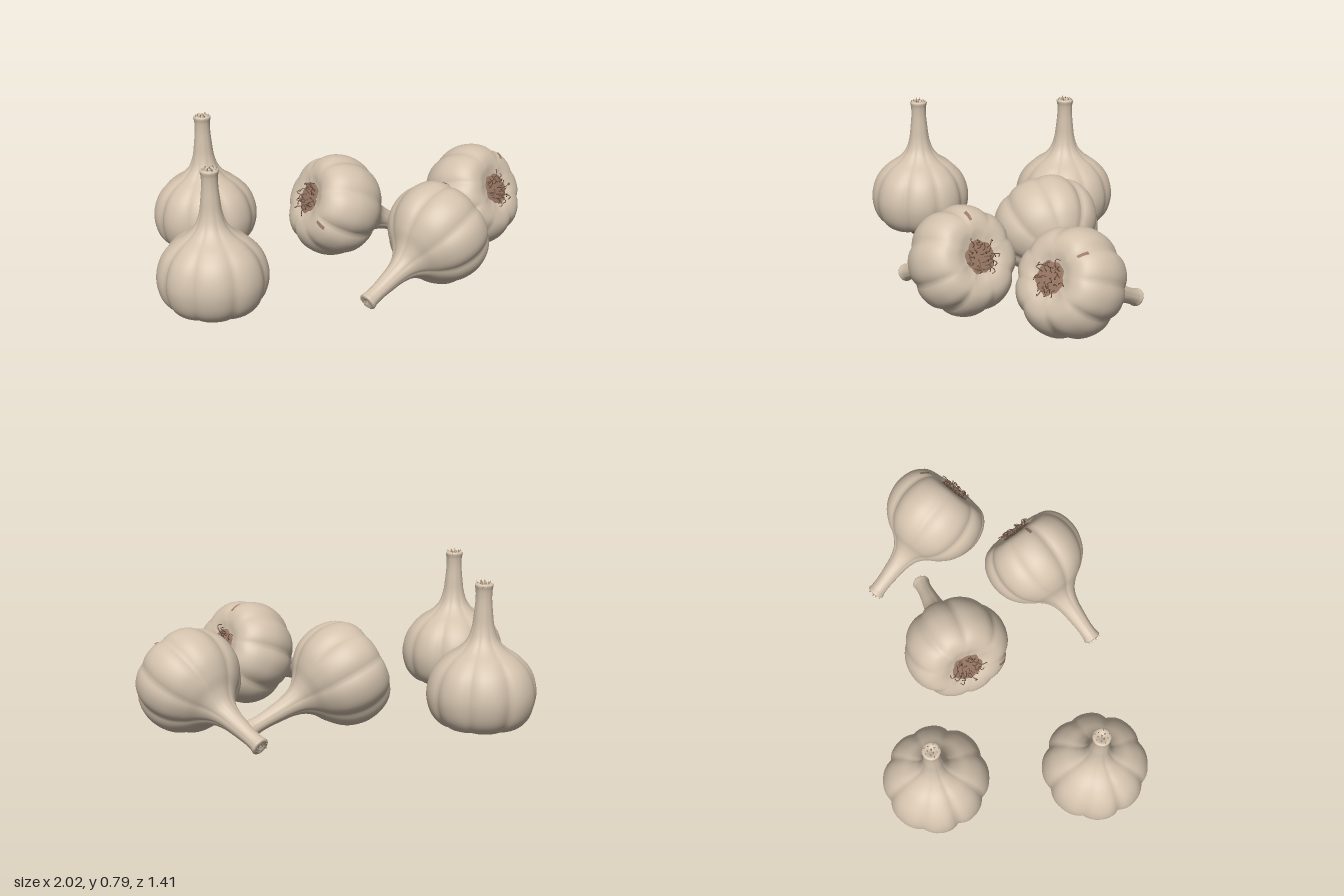
import * as THREE from 'three';
import { mergeGeometries } from 'three/addons/utils/BufferGeometryUtils.js';

const skin = new THREE.MeshStandardMaterial({ color: 0xd3c2ad });
skin.name = 'garlicSkin';
const brown = new THREE.MeshStandardMaterial({ color: 0x997763, side: THREE.DoubleSide });
brown.name = 'rootPlateBrown';
const dark = new THREE.MeshStandardMaterial({ color: 0x705646 });
dark.name = 'rootBrown';
const husk = new THREE.MeshStandardMaterial({ color: 0xa8937d });
husk.name = 'dryHusk';

// Small seeded random numbers
function seeded(seed) {
  let s = seed;
  return () => (s = (s * 16807) % 2147483647) / 2147483647;
}

// Bulb outline from the root dimple to the cut stem: radius, height
const profile = new THREE.CatmullRomCurve3([
  [0.06, 0.052], [0.09, 0.044], [0.14, 0.032], [0.2, 0.043], [0.25, 0.095], [0.275, 0.18],
  [0.27, 0.255], [0.24, 0.33], [0.185, 0.39], [0.12, 0.435], [0.08, 0.48], [0.058, 0.54],
  [0.047, 0.62], [0.041, 0.69], [0.042, 0.735], [0.046, 0.762], [0.034, 0.768], [0.002, 0.757],
].map(([r, y]) => new THREE.Vector3(r, y, 0)), false, 'centripetal');

// Point on the bulb surface: v along the outline, a around the axis
function surface(v, a, lift = 0) {
  const p = profile.getPoint(v);
  const fade = 1 - THREE.MathUtils.smoothstep(p.y, 0.36, 0.62);
  const groove = 1 - Math.abs(Math.cos(4 * a + 0.25 * Math.sin(2 * a + 1)));
  const depth = 0.02 + 0.065 * fade * (0.85 + 0.25 * Math.sin(3 * a));
  const uneven = 1 + 0.012 * Math.sin(2 * a + 0.7) * fade;
  const r = p.x * uneven * (1.01 - depth * Math.pow(groove, 1.5)) + lift;
  return [r * Math.cos(a), p.y - lift, r * Math.sin(a)];
}

// Closed skin made of rings
function bulbGeometry(rows = 80, cols = 96) {
  const pos = [], index = [];
  for (let i = 0; i <= rows; i++) {
    for (let j = 0; j < cols; j++) {
      pos.push(...surface(i / rows, (j / cols) * Math.PI * 2));
      if (i === rows) continue;
      const a = i * cols + j, b = i * cols + (j + 1) % cols;
      index.push(a, a + cols, b, b, a + cols, b + cols);
    }
  }
  const g = new THREE.BufferGeometry();
  g.setAttribute('position', new THREE.Float32BufferAttribute(pos, 3));
  g.setIndex(index);
  g.computeVertexNormals();
  return g;
}

// Thin brown mark lying on the skin near the base
function markGeometry() {
  const g = new THREE.PlaneGeometry(1, 1, 8, 2);
  const p = g.attributes.position;
  for (let i = 0; i < p.count; i++) {
    const v = 0.185 + p.getX(i) * 0.05;
    p.setXYZ(i, ...surface(v, 0.2 + p.getY(i) * 0.08, 0.003));
  }
  g.computeVertexNormals();
  return g;
}

// Shallow root plate with an uneven rim
function plateGeometry() {
  const g = new THREE.CircleGeometry(0.083, 36);
  g.rotateX(Math.PI / 2);
  const p = g.attributes.position;
  for (let i = 1; i < p.count; i++) {
    const a = Math.atan2(p.getZ(i), p.getX(i));
    const k = 1 + 0.05 * Math.sin(5 * a) + 0.04 * Math.cos(9 * a);
    p.setXYZ(i, p.getX(i) * k, 0.039, p.getZ(i) * k);
  }
  p.setY(0, 0.034);
  g.computeVertexNormals();
  return g;
}

// Short curling roots
function rootsGeometry() {
  const rand = seeded(71), list = [];
  for (let i = 0; i < 24; i++) {
    const a = i * 2.4, r = 0.07 * Math.sqrt((i + 0.5) / 24);
    const turn = a + (rand() - 0.5) * 3, len = 0.02 + rand() * 0.03;
    const x = r * Math.cos(a), z = r * Math.sin(a), y = 0.006 + rand() * 0.014;
    const dx = Math.cos(turn) * len, dz = Math.sin(turn) * len;
    const path = new THREE.CatmullRomCurve3([
      new THREE.Vector3(x, 0.042, z),
      new THREE.Vector3(x + dx * 0.3, y + 0.006, z + dz * 0.3),
      new THREE.Vector3(x + dx * 0.8 - dz * 0.3, y, z + dz * 0.8 + dx * 0.3),
      new THREE.Vector3(x + dx, y + 0.012, z + dz),
    ]);
    list.push(new THREE.TubeGeometry(path, 8, 0.0025, 5));
  }
  return mergeGeometries(list);
}

// Ragged fibres at the cut end of the stem
function fibresGeometry() {
  const rand = seeded(19), list = [];
  for (let i = 0; i < 12; i++) {
    const a = i * 2.4, r = 0.04 * Math.sqrt((i + 0.5) / 12);
    const g = new THREE.ConeGeometry(0.007, 0.022 + rand() * 0.012, 5);
    g.rotateZ((rand() - 0.5) * 1.2);
    g.rotateY(a);
    g.translate(r * Math.cos(a), 0.767, r * Math.sin(a));
    list.push(g);
  }
  return mergeGeometries(list);
}

export function createModel() {
  const model = new THREE.Group();
  model.name = 'garlicBulbs';
  const parts = [
    ['bulbAndStem', bulbGeometry(), skin],
    ['rootPlate', plateGeometry(), brown],
    ['skinMark', markGeometry(), brown],
    ['roots', rootsGeometry(), dark],
    ['stemFibres', fibresGeometry(), husk],
  ];
  const addBulb = (name) => {
    const bulb = new THREE.Group();
    bulb.name = name;
    for (const [part, geometry, material] of parts) {
      const mesh = new THREE.Mesh(geometry, material);
      mesh.name = part;
      bulb.add(mesh);
    }
    model.add(bulb);
    return bulb;
  };

  // Two standing bulbs
  addBulb('standingBulbBack').position.set(-0.727, 0, -0.413);
  addBulb('standingBulbFront').position.set(-0.727, 0, 0.417);

  // Three lying bulbs: root plate centre, stem tip, roll about the axis
  const lying = [
    ['lyingBulbBack', [-0.175, 0.345, -0.205], [0.46, 0.04, -0.43], 2.2],
    ['lyingBulbFront', [0.575, 0.347, 0.12], [0.03, 0.04, 0.5], 0.2],
    ['lyingBulbSide', [0.85, 0.345, -0.2], [0.41, 0.04, -0.68], 0.93],
  ];
  for (const [name, base, tip, roll] of lying) {
    const start = new THREE.Vector3(...base);
    const axis = new THREE.Vector3(...tip).sub(start).normalize();
    const up = new THREE.Vector3(0, 1, 0).addScaledVector(axis, -axis.y).normalize();
    const side = new THREE.Vector3().crossVectors(up, axis);
    const bulb = addBulb(name);
    bulb.quaternion.setFromRotationMatrix(new THREE.Matrix4().makeBasis(up, axis, side));
    bulb.rotateY(roll);
    bulb.position.copy(start).addScaledVector(axis, -0.04);
  }
  return model;
}
